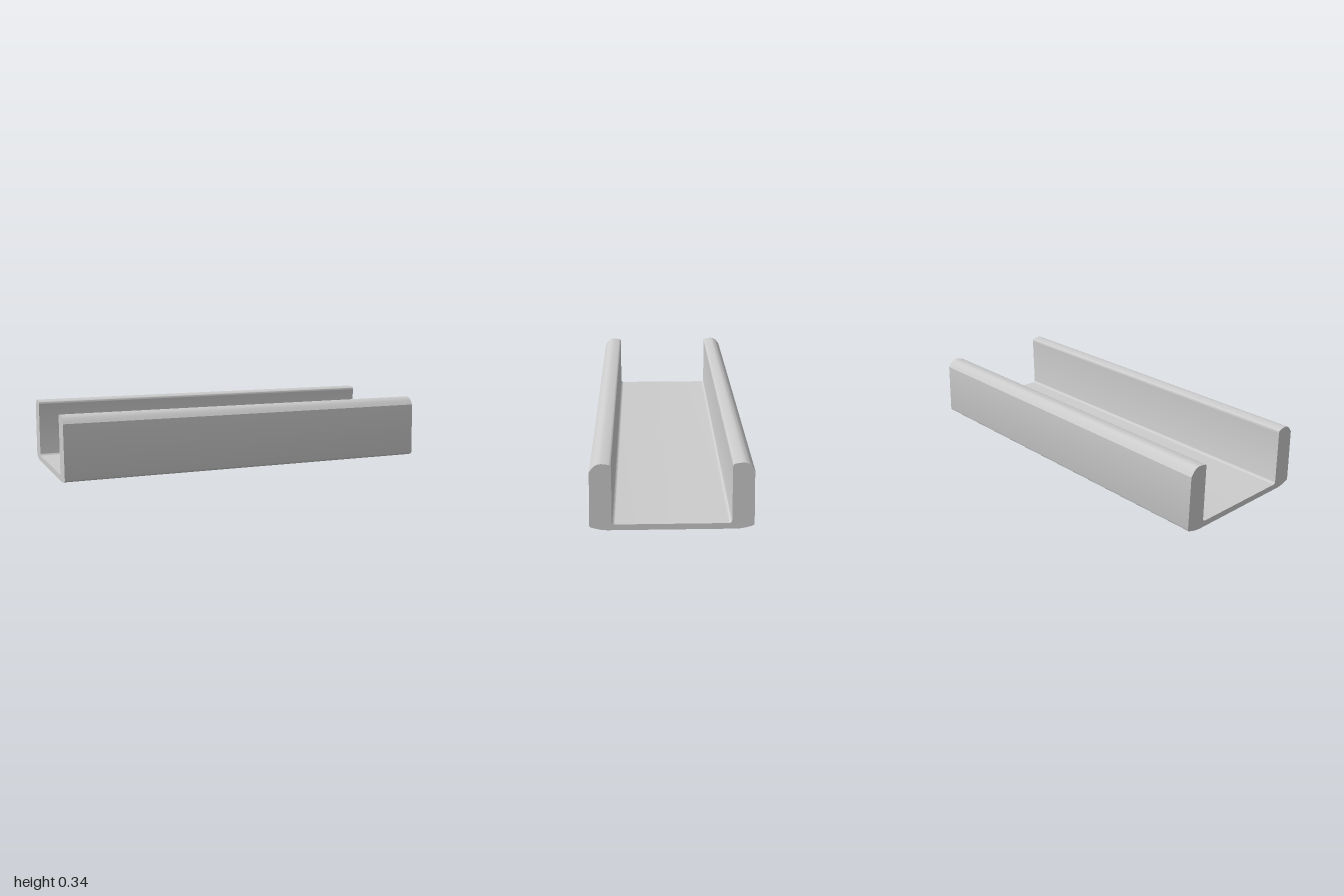
import * as THREE from 'three';
import { toCreasedNormals } from 'three/addons/utils/BufferGeometryUtils.js';

// Half of the channel's cross-section, from bottom centre round to floor centre
function halfProfile() {
  const p = new THREE.Path();
  p.moveTo(0, 0);
  p.lineTo(0.305, 0);
  p.bezierCurveTo(0.335, 0.002, 0.355, 0.008, 0.377, 0.015); // rounded underside
  p.quadraticCurveTo(0.387, 0.019, 0.3865, 0.029);
  p.lineTo(0.379, 0.3); // slightly leaning outer wall
  p.bezierCurveTo(0.364, 0.321, 0.351, 0.34, 0.326, 0.34); // domed rim
  p.quadraticCurveTo(0.306, 0.34, 0.285, 0.334);
  p.quadraticCurveTo(0.277, 0.331, 0.2775, 0.32);
  p.lineTo(0.281, 0.045); // inner wall
  p.quadraticCurveTo(0.28, 0.03, 0.264, 0.03); // floor fillet
  p.lineTo(0, 0.03);
  return p.getPoints(8);
}

export function createModel() {
  const group = new THREE.Group();
  group.name = 'channel';

  // Mirror the half profile into a closed U section
  const half = halfProfile();
  const mirrored = half.slice(1, -1).reverse().map((p) => new THREE.Vector2(-p.x, p.y));
  const section = new THREE.Shape([...half, ...mirrored]);

  // Run the section along x
  let geometry = new THREE.ExtrudeGeometry(section, { depth: 2, bevelEnabled: false });
  geometry.translate(0, 0, -1);
  geometry.rotateY(Math.PI / 2);
  geometry = toCreasedNormals(geometry, 0.5);

  const rail = new THREE.Mesh(geometry, new THREE.MeshStandardMaterial({ color: 0xcccccc }));
  rail.name = 'channelRail';
  group.add(rail);
  return group;
}
